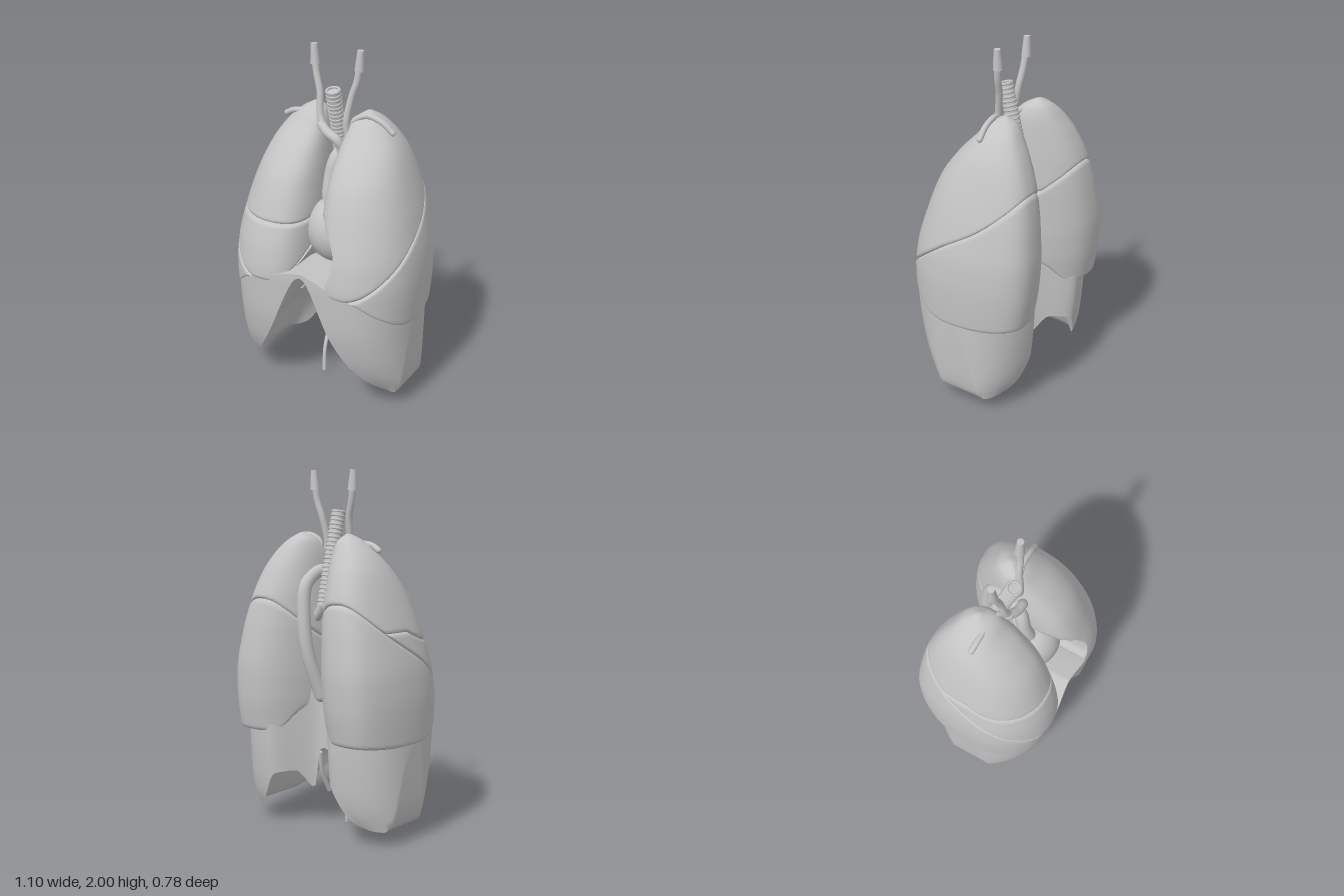
import * as THREE from 'three';
import { toCreasedNormals } from 'three/addons/utils/BufferGeometryUtils.js';

const V = (x, y, z) => new THREE.Vector3(x, y, z);
const { lerp, smoothstep } = THREE.MathUtils;
const grey = new THREE.MeshStandardMaterial({ color: 0xc4c4c4 });
grey.name = 'plain grey';

// Smooth interpolation through rows of [key, value, value...]
function table(rows) {
  const n = rows.length;
  return (k, c = 1) => {
    if (k <= rows[0][0]) return rows[0][c];
    if (k >= rows[n - 1][0]) return rows[n - 1][c];
    let i = 0;
    while (rows[i + 1][0] < k) i++;
    const slope = (a, b) => (rows[b][c] - rows[a][c]) / (rows[b][0] - rows[a][0]);
    const tangent = (j) => {
      if (j === 0) return slope(0, 1);
      if (j === n - 1) return slope(n - 2, n - 1);
      const a = slope(j - 1, j), b = slope(j, j + 1);
      return a * b <= 0 ? 0 : (2 * a * b) / (a + b);
    };
    const h = rows[i + 1][0] - rows[i][0], t = (k - rows[i][0]) / h, t2 = t * t, t3 = t2 * t;
    return (2 * t3 - 3 * t2 + 1) * rows[i][c] + (t3 - 2 * t2 + t) * h * tangent(i)
      + (3 * t2 - 2 * t3) * rows[i + 1][c] + (t3 - t2) * h * tangent(i + 1);
  };
}

// Skin closed rings of points, closing both ends, with faces turned outward
function loft(name, rings, crease) {
  const m = rings[0].length;
  const centre = (r) => r.reduce((a, p) => a.add(p), V(0, 0, 0)).divideScalar(m);
  const ends = [centre(rings[0]), centre(rings[rings.length - 1])];
  const pts = [...rings.flat(), ...ends];
  let idx = [];
  for (let i = 0; i < rings.length - 1; i++) {
    for (let j = 0; j < m; j++) {
      const a = i * m + j, b = i * m + (j + 1) % m;
      idx.push(a, b, a + m, b, b + m, a + m);
    }
  }
  const last = (rings.length - 1) * m;
  for (let j = 0; j < m; j++) {
    const k = (j + 1) % m;
    idx.push(pts.length - 2, k, j, pts.length - 1, last + j, last + k);
  }
  let volume = 0;
  for (let i = 0; i < idx.length; i += 3) {
    volume += pts[idx[i]].dot(pts[idx[i + 1]].clone().cross(pts[idx[i + 2]]));
  }
  if (volume < 0) idx = idx.reverse();
  const g = new THREE.BufferGeometry().setFromPoints(pts);
  g.setIndex(idx);
  return named(name, toCreasedNormals(g, crease));
}

function named(name, geometry) {
  const mesh = new THREE.Mesh(geometry, grey);
  mesh.name = name;
  return mesh;
}

// Round-ended tube through points
function vessel(name, radius, points) {
  const group = new THREE.Group();
  group.name = name;
  const path = new THREE.CatmullRomCurve3(points.map((p) => V(...p)));
  group.add(named(name + 'Tube', new THREE.TubeGeometry(path, 40, radius, 14)));
  for (const t of [0, 1]) {
    const end = named(name + 'End', new THREE.SphereGeometry(radius, 14, 10));
    end.position.copy(path.getPoint(t));
    group.add(end);
  }
  return group;
}

// Lung envelope by height: inner x, outer x, back z, front z
const APEX = 1.658;
const envelope = table([
  [0.5, 0.06, 0.535, -0.34, 0.365], [0.56, 0.06, 0.542, -0.355, 0.375], [0.77, 0.04, 0.55, -0.385, 0.39],
  [0.9, 0.035, 0.543, -0.39, 0.375], [1.1, 0.035, 0.505, -0.372, 0.32], [1.3, 0.045, 0.445, -0.335, 0.245],
  [1.45, 0.06, 0.385, -0.28, 0.14], [1.55, 0.075, 0.32, -0.225, 0.045], [1.62, 0.1, 0.245, -0.175, -0.02],
  [APEX, 0.15, 0.18, -0.12, -0.09],
]);
// Limits of the inner front edge, by height
const leftNotch = table([[0.74, 0.24], [0.78, 0.18], [0.82, 0.165], [0.88, 0.195], [0.96, 0.205], [1.05, 0.175], [1.15, 0.095], [1.25, 0.04], [1.4, 0.03]]);
const rightNotch = table([[0.73, 0.25], [0.76, 0.17], [0.8, 0.1], [0.88, 0.045], [0.95, 0.028], [1.32, 0.03], [1.45, 0.08], [1.56, 0.13]]);
// Fissure and base heights, by depth; the base also rises toward the middle
const oblique = table([[-0.37, 1.34], [-0.28, 1.24], [-0.15, 1.13], [0.1, 0.98], [0.3, 0.83], [0.385, 0.745]]);
const baseEdge = table([[-0.37, 0.56], [-0.1, 0.545], [0.05, 0.545], [0.15, 0.56], [0.3, 0.645], [0.385, 0.745]]);
const base = ({ x, z }) => baseEdge(z) + 0.15 * (1 - smoothstep(Math.abs(x), 0.07, 0.2)) * (1 - smoothstep(z, 0.1, 0.35));
const floor = (p) => Math.max(oblique(p.z), base(p));
const split = (p) => Math.max(floor(p), Math.min(1.15, 1.075 + 0.8 * (0.3 - p.z) ** 2));
const apex = () => APEX;

function lungPoint(side, angle, y, scale) {
  const [xi, xo, zb, zf] = [1, 2, 3, 4].map((c) => envelope(y, c));
  const c = Math.cos(angle), s = Math.sin(angle), a = (xo - xi) / 2;
  const bend = (v, e) => Math.sign(v) * Math.abs(v) ** e;
  let x = (xi + xo) / 2 + a * scale * bend(c, c < 0 ? 0.75 : 0.95) - 0.2 * a * s * scale * (c < 0 ? 1 : 1 - c * c);
  const z = (zb + zf) / 2 + ((zf - zb) / 2) * scale * bend(s, 0.92);
  const limit = (side > 0 ? leftNotch : rightNotch)(y);
  x = Math.max(x, lerp(0.03, limit, smoothstep(z, -0.02, 0.12)));
  return V(side * x, y, z);
}

// One lobe between two height rules, its edges rolled inward; hollow raises the underside
function lobe(name, side, low, high, hollow = 0) {
  const around = 96, rows = 44, rings = [];
  const solve = (angle, rule) => {
    let y = 0.9;
    for (let i = 0; i < 24; i++) y = lerp(y, rule(lungPoint(side, angle, y, 1)), 0.6);
    return y;
  };
  const limits = Array.from({ length: around }, (_, j) => {
    const angle = (j / around) * Math.PI * 2;
    return [angle, solve(angle, low), solve(angle, high)];
  });
  for (let i = 0; i <= rows; i++) {
    const t = (1 - Math.cos((i / rows) * Math.PI)) / 2;
    rings.push(limits.map(([angle, y0, y1]) => {
      const y = lerp(y0, y1, t);
      const d = Math.min(1, Math.min(y - y0, y1 - y) / 0.022);
      return lungPoint(side, angle, y, 1 - 0.06 * (1 - Math.sqrt(Math.max(0, 1 - (1 - d) ** 2))));
    }));
  }
  if (hollow) {
    const rim = rings[0], peak = V(side * 0.3, hollow, 0);
    for (let s = 0.85; s > 0; s -= 0.2) {
      rings.unshift(rim.map((p) => {
        const q = p.clone().lerp(peak, 1 - s);
        q.y = lerp(p.y, hollow, 1 - s * s);
        return q;
      }));
    }
  }
  return loft(name, rings, 0.9);
}

// Dome muscle: cross-sections stepped across x, arched open at the front
function diaphragm() {
  const front = table([[0, 0.81], [0.03, 0.795], [0.065, 0.74], [0.12, 0.62], [0.18, 0.48], [0.25, 0.35], [0.35, 0.2], [0.42, 0.12], [0.47, 0.09], [0.5, 0.12], [0.516, 0.2], [0.527, 0.35], [0.535, 0.52]]);
  const back = table([[0, 0.46], [0.03, 0.45], [0.05, 0.32], [0.065, 0.22], [0.09, 0.26], [0.13, 0.33], [0.2, 0.32], [0.28, 0.2], [0.34, 0.12], [0.42, 0.09], [0.47, 0.085], [0.5, 0.12], [0.516, 0.2], [0.527, 0.35], [0.535, 0.52]]);
  const top = table([[0, 0.835], [0.12, 0.81], [0.3, 0.75], [0.45, 0.68], [0.535, 0.6]]);
  const zFront = table([[0.1, 0.18], [0.2, 0.265], [0.35, 0.33], [0.55, 0.37], [0.77, 0.385]]);
  const zBack = table([[0.1, -0.25], [0.16, -0.285], [0.3, -0.315], [0.55, -0.335], [0.8, -0.34]]);
  const rings = [], steps = 110, n = 14;
  for (let i = 0; i <= steps; i++) {
    const x = 0.535 * Math.sin((i / steps - 0.5) * Math.PI * 0.999), ax = Math.abs(x);
    const u = Math.max(0, (ax - 0.2) / 0.3352);
    const e = Math.max(0.02, (1 - u ** 2.4) ** (1 / 2.4));
    const eb = e * lerp(0.35, 1, smoothstep(ax, 0.02, 0.24));
    const ef = e * lerp(0.95, 1, smoothstep(ax, 0, 0.2));
    const yf = front(ax), yb = back(ax), yt = top(ax), ring = [];
    const F = (y) => zFront(y) * ef, B = (y) => zBack(y) * eb;
    for (let k = 0; k < n; k++) { const y = lerp(yf, yt, k / n); ring.push(V(x, y, F(y))); }
    for (let k = 0; k < n; k++) ring.push(V(x, yt, lerp(F(yt), B(yt), k / n)));
    for (let k = 0; k < n; k++) { const y = lerp(yt, yb, k / n); ring.push(V(x, y, B(y))); }
    // Underside, vaulted in the middle and flat toward the outer walls
    const vault = lerp(yf, yt, 0.4 * (1 - smoothstep(ax, 0.3, 0.44)));
    const under = new THREE.CubicBezierCurve3(V(x, yb, B(yb)), V(x, vault, B(yb) * 0.8),
      V(x, vault, F(yf) * 0.6), V(x, yf, F(yf)));
    for (let k = 0; k < n; k++) ring.push(under.getPoint(k / n));
    rings.push(ring);
  }
  return loft('diaphragm', rings, 0.75);
}

// Windpipe with stacked cartilage rings and two branches
function trachea() {
  const group = new THREE.Group();
  group.name = 'trachea';
  const a = V(0, 1.77, 0.005), b = V(0, 1.26, -0.12), dir = b.clone().sub(a).normalize();
  const pipe = new THREE.TubeGeometry(new THREE.LineCurve3(a, b), 1, 0.038, 24);
  group.add(named('windpipe', pipe));
  const lid = named('windpipeTop', new THREE.CircleGeometry(0.038, 24));
  lid.position.copy(a).addScaledVector(dir, 0.008);
  lid.quaternion.setFromUnitVectors(V(0, 0, 1), dir.clone().negate());
  group.add(lid);
  for (let i = 0; i < 22; i++) {
    const ring = named('cartilageRing', new THREE.TorusGeometry(0.035, 0.0075, 8, 28));
    ring.position.lerpVectors(a, b, i / 22);
    ring.quaternion.setFromUnitVectors(V(0, 0, 1), dir);
    group.add(ring);
  }
  for (const s of [-1, 1]) {
    group.add(vessel('bronchus', 0.028, [[0, 1.28, -0.115], [s * 0.05, 1.21, -0.11], [s * 0.13, 1.14, -0.09]]));
  }
  return group;
}

export function createModel() {
  const model = new THREE.Group();
  model.name = 'lungsAndDiaphragm';

  // Left lung, two lobes; right lung, three lobes
  model.add(lobe('leftUpperLobe', 1, floor, apex), lobe('leftLowerLobe', 1, base, floor, 0.74));
  model.add(lobe('rightUpperLobe', -1, split, apex), lobe('rightMiddleLobe', -1, floor, split),
    lobe('rightLowerLobe', -1, base, floor, 0.74));

  // Diaphragm and its two hanging crura
  model.add(diaphragm());
  model.add(vessel('rightCrus', 0.011, [[-0.05, 0.42, -0.09], [-0.062, 0.28, -0.06], [-0.058, 0.15, 0], [-0.052, 0.011, 0.02]]));
  model.add(vessel('leftCrus', 0.012, [[0.052, 0.42, -0.09], [0.066, 0.3, -0.06], [0.067, 0.18, 0]]));

  // Heart
  const heart = named('heart', new THREE.SphereGeometry(1, 40, 28));
  heart.scale.set(0.17, 0.185, 0.155);
  heart.position.set(0.07, 1.01, 0.085);
  heart.rotation.z = 0.2;
  model.add(heart);

  // Great vessels
  model.add(trachea());
  model.add(vessel('aorta', 0.038, [[0.03, 1.12, 0.1], [0.015, 1.28, 0.06], [0.035, 1.41, 0.02], [0.07, 1.45, -0.07],
    [0.085, 1.38, -0.17], [0.075, 1.2, -0.2], [0.055, 1, -0.19], [0.02, 0.76, -0.12]]));
  model.add(vessel('pulmonaryTrunk', 0.032, [[0.06, 1.1, 0.12], [0.02, 1.19, 0.08], [0.05, 1.25, 0], [0.12, 1.24, -0.05]]));
  model.add(vessel('venaCava', 0.03, [[-0.03, 0.82, 0.08], [-0.03, 1.0, 0.06], [-0.03, 1.2, 0.04]]));
  model.add(vessel('rightCarotid', 0.019, [[-0.137, 1.92, -0.037], [-0.12, 1.83, -0.03], [-0.095, 1.74, -0.02], [-0.082, 1.62, 0],
    [-0.055, 1.565, 0.015]]));
  model.add(vessel('brachiocephalicArtery', 0.026, [[-0.065, 1.57, 0.012], [-0.02, 1.54, 0.03], [0.04, 1.51, 0.035], [0.06, 1.46, 0.02], [0.045, 1.4, 0.02]]));
  model.add(vessel('leftCarotid', 0.019, [[0.137, 1.92, -0.037], [0.125, 1.83, -0.03], [0.098, 1.74, -0.02], [0.078, 1.6, 0],
    [0.085, 1.5, -0.01], [0.07, 1.43, -0.02]]));
  model.add(vessel('rightSubclavian', 0.016, [[-0.33, 1.573, -0.055], [-0.28, 1.598, -0.05], [-0.18, 1.608, -0.045], [-0.1, 1.6, -0.03], [-0.06, 1.56, 0.01]]));
  model.add(vessel('leftSubclavian', 0.016, [[0.33, 1.573, -0.055], [0.27, 1.622, -0.05], [0.18, 1.645, -0.045], [0.11, 1.61, -0.03],
    [0.09, 1.52, -0.05], [0.08, 1.44, -0.06]]));

  // Sleeves on the carotid ends
  for (const s of [-1, 1]) {
    const sleeve = named('carotidSleeve', new THREE.CylinderGeometry(0.018, 0.027, 0.11, 20));
    sleeve.position.set(s * 0.138, 1.943, -0.038);
    sleeve.rotation.z = -s * 0.06;
    model.add(sleeve);
  }
  return model;
}
